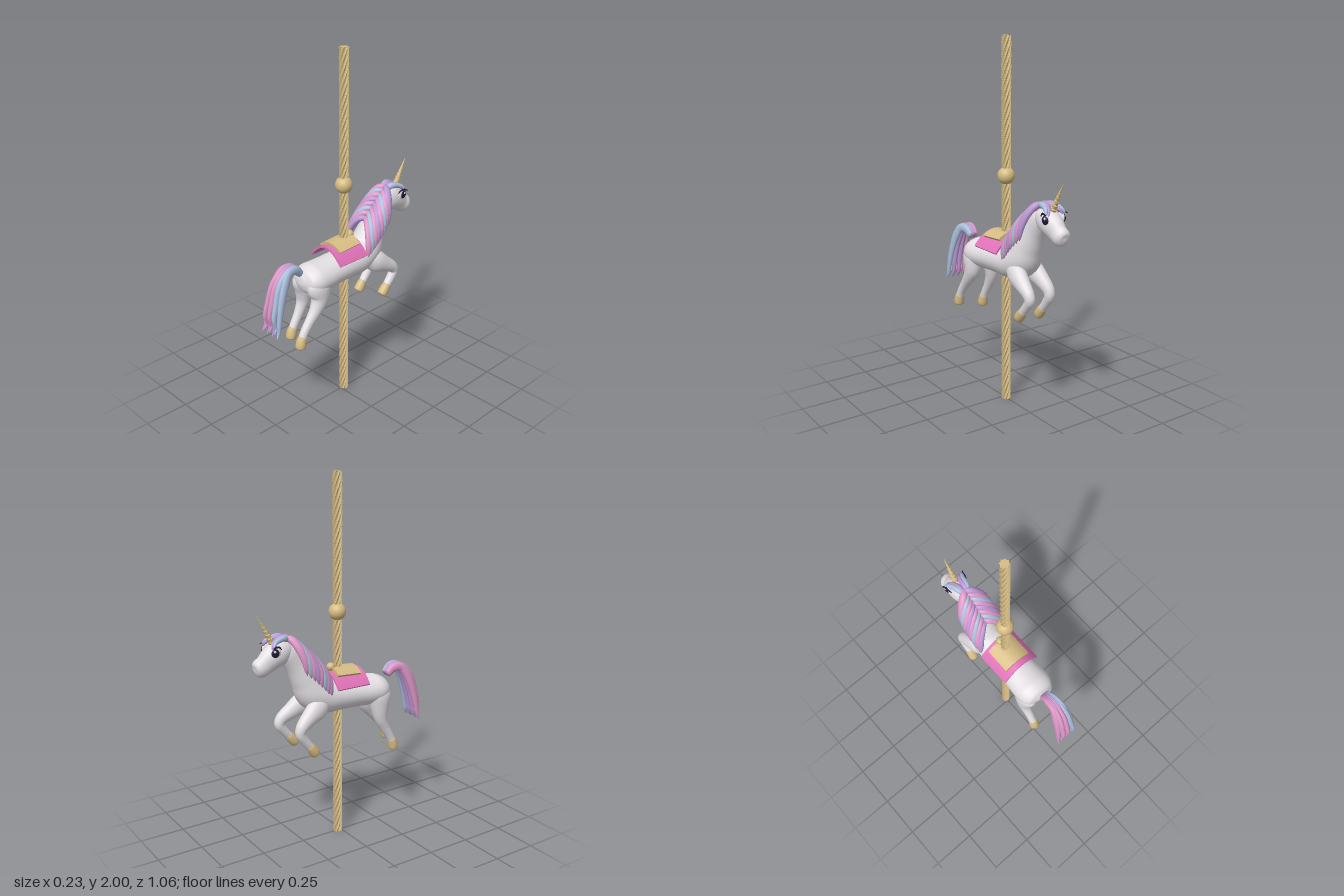
import * as THREE from 'three';

const mat = (name, color) => {
  const m = new THREE.MeshStandardMaterial({ color });
  m.name = name;
  return m;
};

export function createModel() {
  const root = new THREE.Group();
  const coat = mat('coat white', 0xe2dee2);
  const gold = mat('gold', 0xd6bc84);
  const saddlePink = mat('saddle pink', 0xe072b8);
  const hairPink = mat('hair pink', 0xdf98c8);
  const hairPurple = mat('hair purple', 0xbb98d4);
  const hairBlue = mat('hair blue', 0xabbfdd);
  const eyeWhite = mat('eye white', 0xffffff);
  const eyeDark = mat('eye dark', 0x221a3e);

  const add = (name, geo, material, parent = root) => {
    const m = new THREE.Mesh(geo, material);
    m.name = name;
    parent.add(m);
    return m;
  };

  // Smooth closed tube through stations [x, y, z, sideRadius, upRadius]
  const X = new THREE.Vector3(1, 0, 0), Z = new THREE.Vector3(0, 0, 1);
  function loft(stations, ref = X, sides = 20, per = 5) {
    const path = new THREE.CatmullRomCurve3(stations.map(s => new THREE.Vector3(s[0], s[1], s[2])));
    const radii = new THREE.CatmullRomCurve3(
      stations.map(s => new THREE.Vector3(s[3], s[4] ?? s[3], 0)), false, 'catmullrom', 0.5);
    const n = (stations.length - 1) * per, pos = [], idx = [];
    for (let i = 0; i <= n; i++) {
      const c = path.getPoint(i / n), t = path.getTangent(i / n), r = radii.getPoint(i / n);
      const s = ref.clone().addScaledVector(t, -ref.dot(t)).normalize();
      const u = t.clone().cross(s);
      for (let j = 0; j < sides; j++) {
        const a = j / sides * Math.PI * 2;
        const p = c.clone().addScaledVector(s, Math.cos(a) * Math.max(r.x, 0.001))
          .addScaledVector(u, Math.sin(a) * Math.max(r.y, 0.001));
        pos.push(p.x, p.y, p.z);
      }
    }
    const at = (i, j) => i * sides + j % sides;
    for (let i = 0; i < n; i++) for (let j = 0; j < sides; j++) {
      idx.push(at(i, j), at(i, j + 1), at(i + 1, j), at(i, j + 1), at(i + 1, j + 1), at(i + 1, j));
    }
    // End caps
    const c0 = pos.length / 3, a = path.getPoint(0), b = path.getPoint(1);
    pos.push(a.x, a.y, a.z, b.x, b.y, b.z);
    for (let j = 0; j < sides; j++) idx.push(c0, at(0, j + 1), at(0, j), c0 + 1, at(n, j), at(n, j + 1));
    const g = new THREE.BufferGeometry();
    g.setAttribute('position', new THREE.Float32BufferAttribute(pos, 3));
    g.setIndex(idx);
    g.computeVertexNormals();
    return g;
  }

  // Cylinder whose vertices follow a radius rule, with faceted normals
  function carved(rTop, rBottom, height, sides, rows, rule) {
    const g = new THREE.CylinderGeometry(rTop, rBottom, height, sides, rows);
    const p = g.attributes.position;
    for (let i = 0; i < p.count; i++) {
      const x = p.getX(i), z = p.getZ(i), r = Math.hypot(x, z);
      if (r < 1e-6) continue;
      const h = p.getY(i) / height + 0.5;
      const [k, twist] = rule(Math.atan2(x, z), h);
      const a = Math.atan2(x, z) + twist;
      p.setX(i, Math.sin(a) * r * k);
      p.setZ(i, Math.cos(a) * r * k);
    }
    const flat = g.toNonIndexed();
    flat.computeVertexNormals();
    return flat;
  }

  // Twisted fluted pole and its ball
  const pole = add('twistedPole', carved(0.026, 0.026, 2, 16, 160, (a, h) =>
    [Math.round(a / (Math.PI / 8)) % 2 ? 0.74 : 1, h * Math.PI * 2 * 4.5]), gold);
  pole.position.set(0, 1, -0.022);
  add('poleBall', new THREE.SphereGeometry(0.047, 28, 20), gold).position.set(0, 1.275, -0.022);

  // Body running into the neck
  add('body', loft([
    [0, 0.815, 0.293, 0.025, 0.02], [0, 0.813, 0.275, 0.08, 0.058], [0, 0.808, 0.23, 0.106, 0.082],
    [0, 0.807, 0.17, 0.108, 0.083], [0, 0.812, 0.08, 0.101, 0.082], [0, 0.817, -0.02, 0.099, 0.086],
    [0, 0.825, -0.11, 0.1, 0.093], [0, 0.86, -0.18, 0.095, 0.097], [0, 0.935, -0.225, 0.078, 0.082],
    [0, 1.03, -0.28, 0.058, 0.065], [0, 1.1, -0.335, 0.05, 0.057], [0, 1.12, -0.37, 0.035, 0.035]
  ], X, 28), coat);

  // Head and muzzle
  add('head', loft([
    [0, 1.125, -0.315, 0.015], [0, 1.122, -0.33, 0.042, 0.045], [0, 1.108, -0.375, 0.056, 0.068],
    [0, 1.083, -0.425, 0.054, 0.064], [0, 1.052, -0.468, 0.045, 0.054],
    [0, 1.035, -0.5, 0.044, 0.05], [0, 1.026, -0.518, 0.03, 0.034], [0, 1.024, -0.524, 0.006]
  ], X, 24), coat);

  // Spiral horn
  const horn = add('horn', carved(0.001, 0.019, 0.165, 16, 40, (a, h) =>
    [0.82 + 0.25 * (((a / (Math.PI * 2) + h * 7) % 1 + 1) % 1), 0]), gold);
  horn.position.set(0, 1.236, -0.463);
  horn.rotation.x = -0.5;

  // Eyes: white, iris, glint and upper lash
  for (const s of [-1, 1]) {
    const eye = new THREE.Group();
    eye.name = s > 0 ? 'leftEye' : 'rightEye';
    const disc = (name, r, x, y, z, m) => {
      const d = add(name, new THREE.SphereGeometry(r, 18, 12), m, eye);
      d.scale.x = 0.4;
      d.position.set(s * x, y, z);
    };
    disc('eyeball', 0.028, 0.05, 1.122, -0.425, eyeWhite);
    disc('iris', 0.023, 0.055, 1.121, -0.432, eyeDark);
    disc('glint', 0.007, 0.063, 1.13, -0.438, eyeWhite);
    add('lash', loft([
      [s * 0.052, 1.135, -0.395, 0.002], [s * 0.06, 1.152, -0.415, 0.005],
      [s * 0.063, 1.15, -0.44, 0.005], [s * 0.072, 1.146, -0.452, 0.002]
    ], X, 8, 4), eyeDark, eye);
    root.add(eye);
  }

  // Legs with hooves, all four in slightly different strides
  function leg(name, x, pts, hoof) {
    const g = new THREE.Group();
    g.name = name;
    add('limb', loft(pts.map(([dx, y, z, rx, ry]) => [x * dx, y, z, rx, ry])), coat, g);
    add('hoof', loft(hoof.map(([y, z, r]) => [x, y, z, r]), X, 18, 3), gold, g);
    root.add(g);
  }
  leg('frontLeftLeg', 0.078, [
    [0.65, 0.81, -0.16, 0.04, 0.045], [0.8, 0.785, -0.21, 0.046, 0.062], [0.92, 0.748, -0.275, 0.04, 0.046],
    [1, 0.712, -0.33, 0.032, 0.034], [1, 0.684, -0.343, 0.028, 0.029],
    [1, 0.65, -0.323, 0.025, 0.025], [1, 0.605, -0.285, 0.022, 0.023]
  ], [[0.612, -0.291, 0.023], [0.6, -0.28, 0.026], [0.577, -0.26, 0.028], [0.561, -0.246, 0.026]]);
  leg('frontRightLeg', -0.078, [
    [0.65, 0.81, -0.15, 0.04, 0.045], [0.8, 0.782, -0.19, 0.046, 0.062], [0.92, 0.742, -0.25, 0.04, 0.046],
    [1, 0.7, -0.297, 0.032, 0.034], [1, 0.67, -0.306, 0.028, 0.029],
    [1, 0.63, -0.284, 0.025, 0.025], [1, 0.585, -0.25, 0.022, 0.023]
  ], [[0.59, -0.254, 0.023], [0.579, -0.244, 0.026], [0.555, -0.226, 0.028], [0.538, -0.213, 0.026]]);
  for (const [name, x, dz, dy] of [['hindLeftLeg', 0.066, 0.048, 0.017], ['hindRightLeg', -0.068, 0, 0]]) {
    leg(name, x, [
      [0.8, 0.83, 0.21, 0.035, 0.05], [0.86, 0.78, 0.215, 0.05, 0.075], [0.95, 0.715, 0.215, 0.044, 0.056],
      [1, 0.65 + dy / 2, 0.222 + dz / 2, 0.034, 0.039], [1, 0.59 + dy, 0.25 + dz * 0.8, 0.026, 0.029],
      [1, 0.54 + dy, 0.28 + dz, 0.023, 0.025], [1, 0.5 + dy, 0.302 + dz, 0.022, 0.024]
    ], [[0.51 + dy, 0.297 + dz, 0.024], [0.495 + dy, 0.304 + dz, 0.027],
      [0.468 + dy, 0.312 + dz, 0.029], [0.45 + dy, 0.315 + dz, 0.027]]);
  }

  // Arched saddle blanket and seat
  function arch(halfWidth, yEdge, yMid, thick, depth) {
    const c = 2 * yMid - yEdge, s = new THREE.Shape();
    s.moveTo(-halfWidth, yEdge);
    s.quadraticCurveTo(0, c, halfWidth, yEdge);
    s.lineTo(halfWidth - thick * 0.6, yEdge - thick * 0.6);
    s.quadraticCurveTo(0, c - thick * 1.3, -halfWidth + thick * 0.6, yEdge - thick * 0.6);
    s.closePath();
    return new THREE.ExtrudeGeometry(s, { depth, bevelEnabled: false, curveSegments: 20 });
  }
  add('saddleBlanket', arch(0.117, 0.88, 0.957, 0.012, 0.202), saddlePink).position.z = -0.09;
  const seat = add('saddleSeat', arch(0.081, -0.022, 0.01, 0.02, 0.148), gold);
  seat.position.set(0, 0.97, -0.067);
  seat.rotation.x = 0.06;
  add('saddlePommel', new THREE.SphereGeometry(0.023, 18, 12), gold).position.set(0, 0.978, -0.065);

  // Mane locks falling in chevrons on both sides of the neck
  const hair = [hairPink, hairBlue, hairPink, hairPurple];
  for (const s of [-1, 1]) for (let i = 0; i < 8; i++) {
    const k = i / 7, y = 1.175 - 0.125 * k - 0.02 * k * k, z = -0.35 + 0.15 * k;
    const w = 0.92 + 0.1 * Math.sin(k * Math.PI);
    add('maneLock', loft([
      [-s * 0.005, y, z, 0.014], [s * 0.03 * w, y - 0.002, z + 0.025, 0.021, 0.018],
      [s * 0.072 * w, y - 0.05, z + 0.052, 0.023, 0.018], [s * 0.095 * w, y - 0.115, z + 0.072, 0.02, 0.016],
      [s * 0.1 * w, y - 0.16, z + 0.077, 0.012, 0.01], [s * 0.098 * w, y - 0.19, z + 0.083, 0.002]
    ], Z, 12, 4), hair[(i + (s > 0 ? 3 : 0)) % 4]);
  }

  // Forelock curling around the horn
  for (const s of [-1, 1]) [hairPurple, hairBlue].forEach((m, i) => add('forelock', loft([
    [s * 0.01, 1.165, -0.335, 0.014], [s * (0.014 + 0.012 * i), 1.183, -0.365, 0.017],
    [s * (0.022 + 0.015 * i), 1.178, -0.405, 0.014], [s * (0.034 + 0.016 * i), 1.165, -0.432, 0.01],
    [s * (0.046 + 0.016 * i), 1.14, -0.447, 0.002]
  ], X, 12, 4), m));

  // Tail locks fanning out
  [hairPink, hairPink, hairPurple, hairPink, hairPurple, hairBlue, hairBlue].forEach((m, i) => {
    const t = (i - 3) / 3, d = i % 2 ? 0.012 : -0.008;
    add('tailLock', loft([
      [t * 0.016, 0.875, 0.308, 0.014, 0.02], [t * 0.022, 0.908, 0.345, 0.015, 0.025],
      [t * 0.028, 0.908, 0.395, 0.015, 0.025], [t * 0.038, 0.855, 0.44 + d, 0.015, 0.025],
      [t * 0.047, 0.76, 0.475 + d, 0.014, 0.021], [t * 0.053, 0.67 + d, 0.497 + d, 0.011, 0.015],
      [t * 0.055, 0.62 + d, 0.497, 0.008, 0.01], [t * 0.06, 0.59 + d, 0.514, 0.003]
    ], X, 12, 4), m);
  });

  return root;
}
